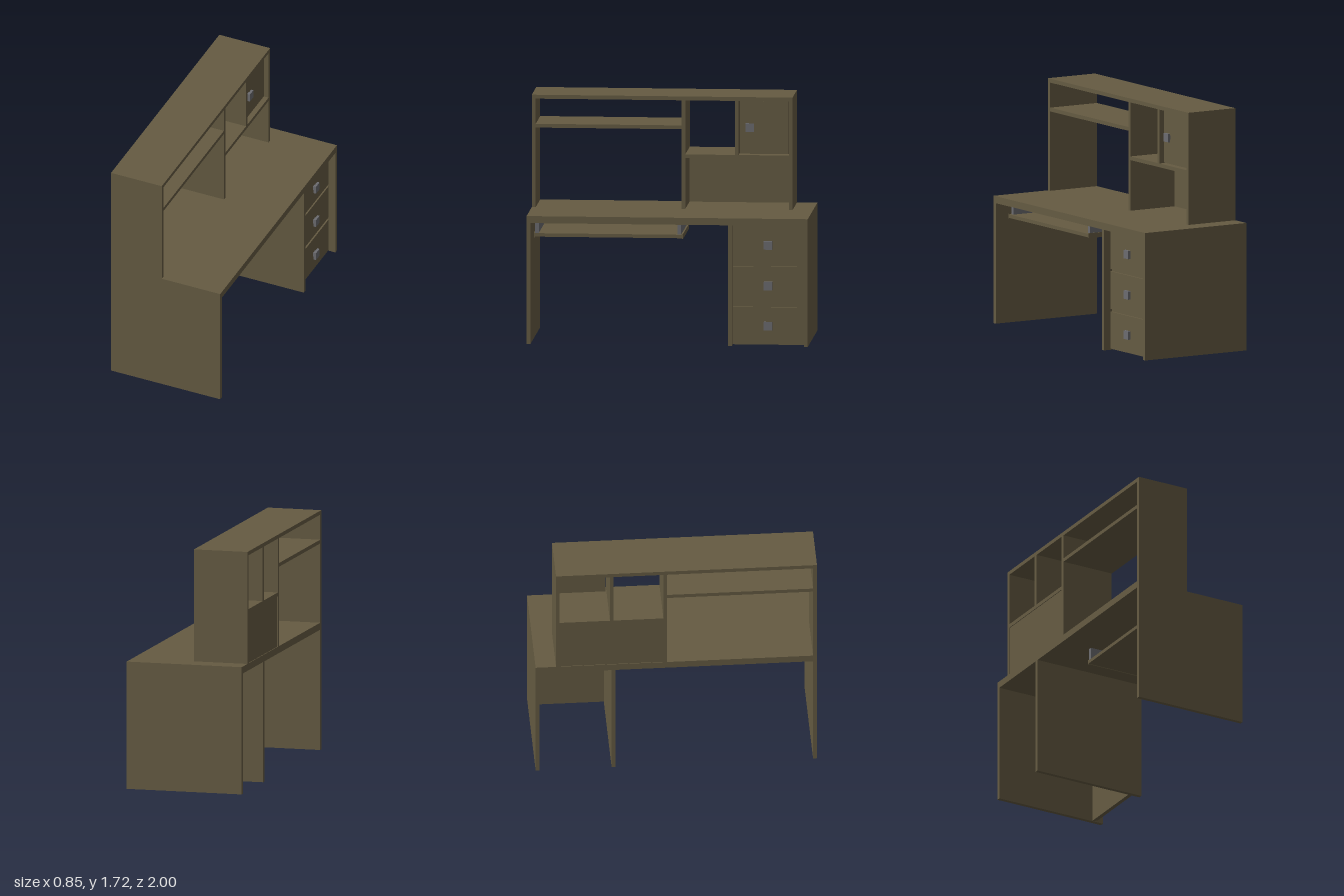
import * as THREE from 'three';

export function createModel() {
  const desk = new THREE.Group();
  desk.name = 'desk';
  const wood = new THREE.MeshStandardMaterial({ color: 0x655b42 });
  const metal = new THREE.MeshStandardMaterial({ color: 0x6c6c70 });

  // Box given by its limits on each axis
  function board(name, [x0, x1], [y0, y1], [z0, z1], material = wood, parent = desk) {
    const mesh = new THREE.Mesh(new THREE.BoxGeometry(x1 - x0, y1 - y0, z1 - z0), material);
    mesh.position.set((x0 + x1) / 2, (y0 + y1) / 2, (z0 + z1) / 2);
    mesh.name = name;
    parent.add(mesh);
    return mesh;
  }

  const full = [-0.425, 0.425]; // desk depth
  const upper = [-0.425, -0.03]; // hutch depth

  // Desktop and its supports
  board('desktop', full, [0.865, 0.915], [-1, 1]);
  board('endPanel', full, [0, 0.865], [0.972, 1]);
  board('drawerInnerPanel', full, [0, 0.865], [-0.46, -0.432]);
  board('drawerOuterPanel', full, [0, 0.865], [-1, -0.972]);

  // Square pull with a short stem, mounted on a face at x
  function pull(name, x, y, z) {
    const group = new THREE.Group();
    group.name = name;
    board('stem', [x, x + 0.015], [y - 0.015, y + 0.015], [z - 0.015, z + 0.015], metal, group);
    board('plate', [x + 0.012, x + 0.03], [y - 0.03, y + 0.03], [z - 0.03, z + 0.03], metal, group);
    desk.add(group);
  }

  // Drawer fronts set back between the panels
  board('drawerBacking', [0.34, 0.36], [0.005, 0.865], [-0.972, -0.46]);
  for (const [y0, y1] of [[0.01, 0.275], [0.295, 0.565], [0.583, 0.858]]) {
    board('drawerFront', [0.36, 0.375], [y0, y1], [-0.965, -0.465]);
    pull('drawerPull', 0.375, (y0 + y1) / 2, -0.715);
  }

  // Hanging keyboard tray
  board('keyboardTray', [-0.2, 0.33], [0.755, 0.78], [-0.1, 0.95]);
  for (const z of [-0.102, 0.952]) board('trayLip', [-0.2, 0.33], [0.75, 0.785], [z - 0.003, z + 0.003]);
  for (const z of [-0.078, 0.935]) board('trayRail', [-0.2, 0.31], [0.78, 0.865], [z - 0.013, z + 0.013], metal);

  // Hutch frame
  board('hutchTop', upper, [1.692, 1.72], [-0.855, 1]);
  board('hutchEndPanel', upper, [0.915, 1.692], [0.972, 1]);
  board('hutchFarPanel', upper, [0.915, 1.692], [-0.855, -0.83]);
  board('hutchDivider', upper, [0.915, 1.692], [-0.092, -0.065]);
  board('longShelf', upper, [1.485, 1.512], [-0.065, 0.972]);
  board('shortShelf', upper, [1.278, 1.305], [-0.83, -0.092]);
  board('hutchBackPanel', [-0.42, -0.4], [0.915, 1.278], [-0.83, -0.092]);

  // Small cupboard
  board('cupboardDivider', upper, [1.305, 1.692], [-0.472, -0.445]);
  board('cupboardDoor', [-0.085, -0.065], [1.31, 1.687], [-0.825, -0.48]);
  pull('doorPull', -0.065, 1.5, -0.55);

  return desk;
}
